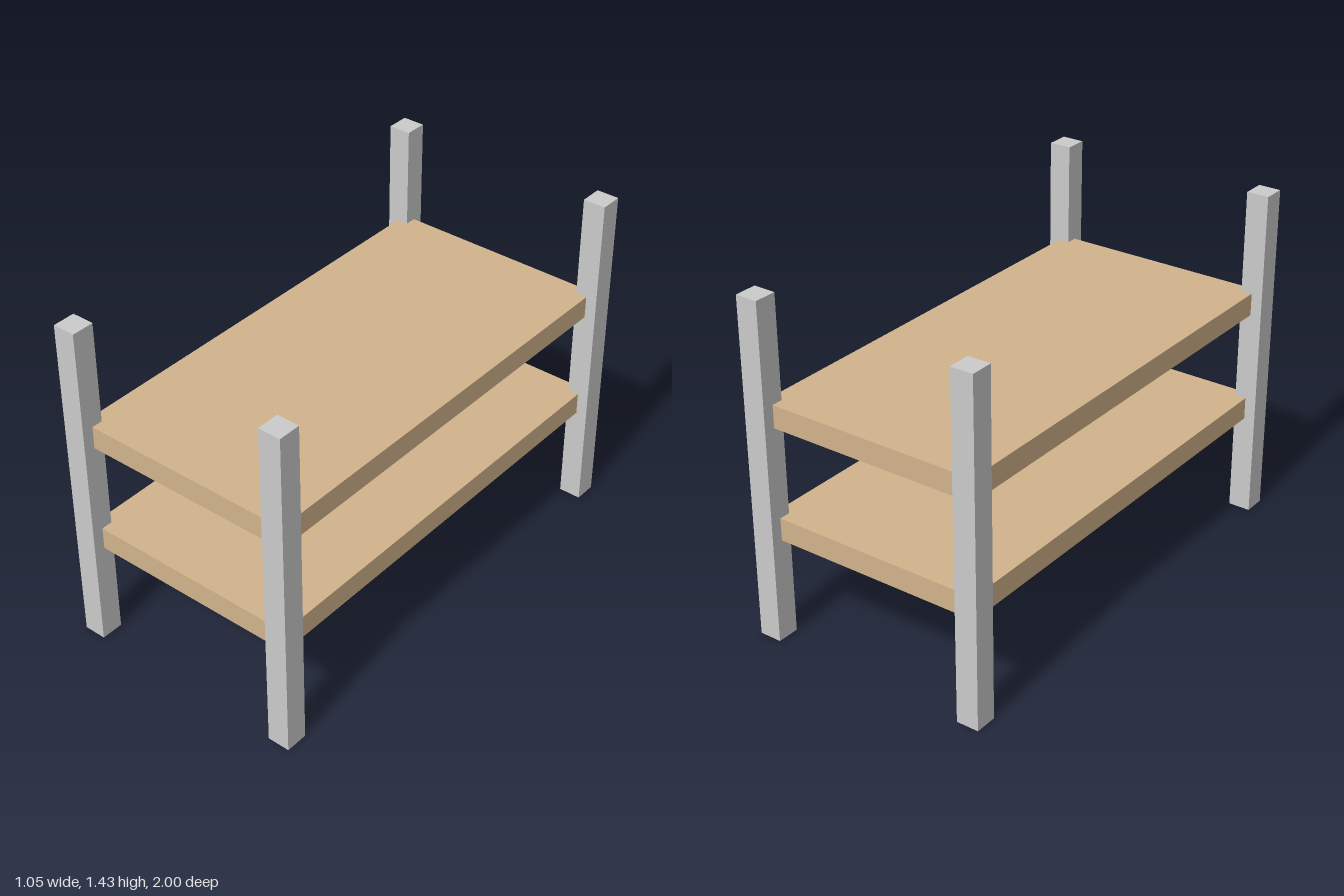
import * as THREE from 'three';

const U = 2 / 2.1; // one design unit, so that the overall length is 2

export function createModel() {
  const group = new THREE.Group();
  const grey = new THREE.MeshStandardMaterial({ color: 0xcccccc });
  const wood = new THREE.MeshStandardMaterial({ color: 0xd2b48c });

  const addBox = (name, material, [w, h, d], [x, y, z]) => {
    const mesh = new THREE.Mesh(new THREE.BoxGeometry(w * U, h * U, d * U), material);
    mesh.position.set(x * U, y * U, z * U);
    mesh.name = name;
    group.add(mesh);
  };

  // Four square corner posts, centred on the corners of the boards
  for (const [sideX, x] of [['Left', 0.5], ['Right', -0.5]]) {
    for (const [sideZ, z] of [['front', 1], ['back', -1]]) {
      addBox(`${sideZ}${sideX}Post`, grey, [0.1, 1.5, 0.1], [x, 0.75, z]);
    }
  }

  // Two wooden boards
  addBox('lowerBoard', wood, [1, 0.1, 2], [0, 0.5, 0]);
  addBox('upperBoard', wood, [1, 0.1, 2], [0, 1, 0]);

  return group;
}
